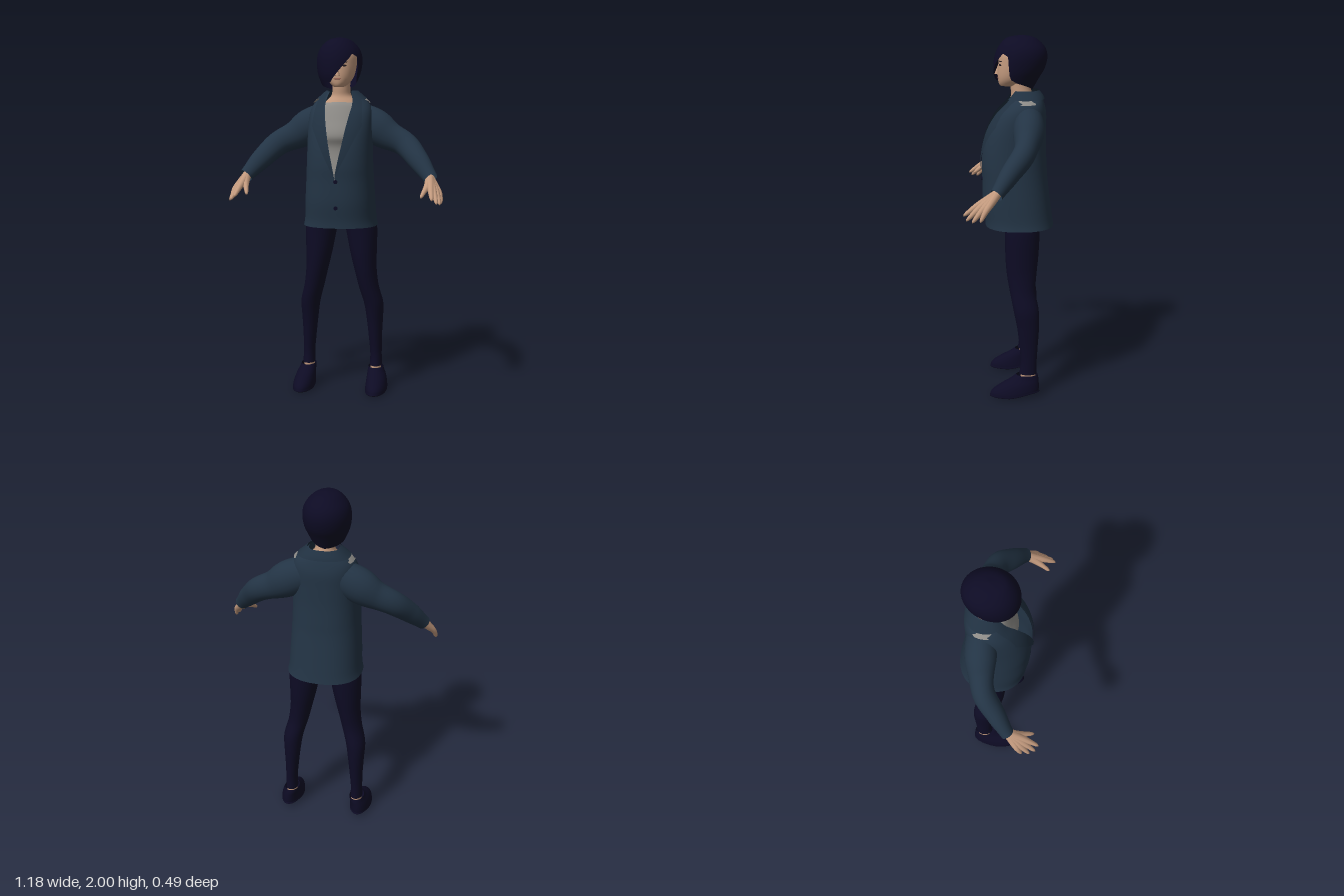
import * as THREE from 'three';
import { mergeVertices } from 'three/addons/utils/BufferGeometryUtils.js';

const mat = (name, color, side = THREE.DoubleSide) => {
  const m = new THREE.MeshStandardMaterial({ color, side });
  m.name = name;
  return m;
};

// Weld seams so that the normals are smooth all round
function weld(geo) {
  geo.deleteAttribute('normal');
  geo.deleteAttribute('uv');
  const g = mergeVertices(geo, 1e-5);
  g.computeVertexNormals();
  return g;
}

// Surface grid; u runs around from the front to +x, v runs downward
function surface(nu, nv, fn) {
  const pos = [], idx = [];
  for (let j = 0; j <= nv; j++)
    for (let i = 0; i <= nu; i++) pos.push(...fn(i / nu, j / nv));
  for (let j = 0; j < nv; j++)
    for (let i = 0; i < nu; i++) {
      const a = j * (nu + 1) + i, d = a + nu + 1;
      idx.push(a, d, a + 1, a + 1, d, d + 1);
    }
  const g = new THREE.BufferGeometry();
  g.setAttribute('position', new THREE.Float32BufferAttribute(pos, 3));
  g.setIndex(idx);
  return weld(g);
}

// Smooth interpolation between rows of numbers
function sample(rows, f) {
  const n = rows.length - 1, i = Math.min(Math.floor(f), n - 1), t = f - i;
  const r = k => rows[Math.max(0, Math.min(n, k))];
  return rows[i].map((_, k) => {
    const a = r(i - 1)[k], b = r(i)[k], c = r(i + 1)[k], d = r(i + 2)[k];
    return b + 0.5 * t * (c - a + t * (2 * a - 5 * b + 4 * c - d + t * (3 * (b - c) + d - a)));
  });
}

// Row position for a given height, rows running from top to bottom
function rowAt(rows, y) {
  for (let i = 0; i < rows.length - 1; i++)
    if (y >= rows[i + 1][0])
      return i + Math.max(0, (rows[i][0] - y) / (rows[i][0] - rows[i + 1][0]));
  return rows.length - 1;
}

// Closed loft through rows of [y, centre x, half width, front z, back z]
function loft(rows, nu = 28, nv = 40, bend = p => p) {
  return surface(nu, nv, (u, v) => {
    const [y, cx, w, zf, zb] = sample(rows, v * (rows.length - 1));
    const t = u * Math.PI * 2;
    return bend([cx + w * Math.sin(t), y, (zf + zb) / 2 + (zf - zb) / 2 * Math.cos(t)]);
  });
}

// Tube of changing radius through points
function limb(points, radii, { seg = 20, sides = 14, round = true, flat = 1 } = {}) {
  const curve = new THREE.CatmullRomCurve3(points.map(p => new THREE.Vector3(...p)));
  const g = new THREE.TubeGeometry(curve, seg, 1, sides);
  const p = g.attributes.position, v = new THREE.Vector3();
  for (let i = 0; i <= seg; i++) {
    const u = i / seg, c = curve.getPointAt(u);
    let r = sample(radii.map(x => [x]), u * (radii.length - 1))[0];
    if (round && u > 0.85) r *= Math.sqrt(Math.max(0, 1 - ((u - 0.85) / 0.15) ** 2));
    for (let j = 0; j <= sides; j++) {
      const k = i * (sides + 1) + j;
      v.fromBufferAttribute(p, k).sub(c).multiplyScalar(r);
      p.setXYZ(k, c.x + v.x, c.y + v.y, c.z + v.z * flat);
    }
  }
  return weld(g);
}

// Jacket rows: [y, half width, front z, back z, half opening]
const JACKET = [
  [1.70, 0.08, -0.02, -0.15, 0.06], [1.67, 0.115, 0, -0.175, 0.07], [1.63, 0.158, 0.03, -0.19, 0.075],
  [1.58, 0.176, 0.075, -0.2, 0.068], [1.5, 0.18, 0.118, -0.2, 0.053], [1.4, 0.181, 0.145, -0.2, 0.034],
  [1.3, 0.184, 0.155, -0.205, 0.013], [1.22, 0.188, 0.152, -0.21, 0], [1.1, 0.195, 0.15, -0.225, 0],
  [1.0, 0.2, 0.137, -0.238, 0], [0.955, 0.208, 0.135, -0.245, 0],
];
const POW = 0.85;
const sgnPow = a => Math.sign(a) * Math.abs(a) ** POW;
const angleFor = (x, w) => Math.asin(Math.min(1, Math.max(0, x / w) ** (1 / POW)));
function jacketPoint(row, t, off = 0) {
  const [y, w, zf, zb] = row;
  return [w * sgnPow(Math.sin(t)) + off * Math.sin(t), y,
    (zf + zb) / 2 + (zf - zb) / 2 * sgnPow(Math.cos(t)) + off * Math.cos(t)];
}

// Hair rows: [y, half width, front z, back z]; hairline: [angle, lowest y]
const HAIR = [
  [2.0, 0, -0.07, -0.07], [1.99, 0.047, 0, -0.125], [1.97, 0.08, 0.035, -0.16], [1.93, 0.113, 0.065, -0.195],
  [1.88, 0.126, 0.083, -0.205], [1.82, 0.122, 0.088, -0.19], [1.77, 0.107, 0.082, -0.16], [1.70, 0.075, 0.055, -0.12],
];
const HAIRLINE = [[-180, 1.705], [-90, 1.735], [-45, 1.75], [-15, 1.755], [0, 1.79], [22, 1.85],
  [45, 1.905], [60, 1.89], [72, 1.77], [90, 1.75], [180, 1.705]];
function hairEdge(deg) {
  const k = HAIRLINE.findIndex((h, i) => i > 0 && deg <= h[0] + 1e-6);
  const [a, b] = [HAIRLINE[k - 1], HAIRLINE[k]];
  return a[1] + (b[1] - a[1]) * (deg - a[0]) / (b[0] - a[0]);
}

export function createModel() {
  const model = new THREE.Group();
  model.name = 'figure';
  const M = {
    jacket: mat('jacket slate blue', 0x233445), lapel: mat('lapel blue', 0x203040),
    dark: mat('dark navy', 0x0d0b24), shirt: mat('shirt grey', 0x8d8b87),
    skin: mat('skin', 0xc39a7e), lip: mat('lip', 0x9c6658), eye: mat('eye dark', 0x241c20),
  };
  const add = (name, geo, m, pos) => {
    const mesh = new THREE.Mesh(geo, m);
    mesh.name = name;
    if (pos) mesh.position.set(...pos);
    model.add(mesh);
    return mesh;
  };

  // Head, neck and face
  add('head', loft([[1.985, 0, 0, -0.06, -0.06], [1.95, 0, 0.065, 0.02, -0.14], [1.9, 0, 0.087, 0.053, -0.16],
    [1.85, 0, 0.088, 0.06, -0.155], [1.8, 0, 0.08, 0.064, -0.135], [1.765, 0, 0.066, 0.063, -0.105],
    [1.74, 0, 0.045, 0.058, -0.07], [1.727, 0, 0.026, 0.045, -0.03], [1.727, 0, 0, 0.01, 0.01]]), M.skin);
  add('neck', loft([[1.79, 0, 0.052, 0, -0.11], [1.72, 0, 0.05, -0.005, -0.115], [1.68, 0, 0.056, -0.008, -0.125],
    [1.65, 0, 0.085, 0.002, -0.14], [1.62, 0, 0.11, 0.015, -0.15]]), M.skin);
  const nose = add('nose', new THREE.ConeGeometry(0.015, 0.055, 10), M.skin, [0, 1.818, 0.064]);
  nose.rotation.x = -0.12;
  add('mouth', new THREE.SphereGeometry(1, 12, 8), M.lip, [0, 1.772, 0.062]).scale.set(0.021, 0.005, 0.004);
  for (const s of [1, -1]) {
    for (const [name, y, w, h, z] of [['eye', 1.843, 0.014, 0.005, 0.0515], ['brow', 1.862, 0.019, 0.003, 0.05]]) {
      const e = add(name, new THREE.SphereGeometry(1, 12, 8), M.eye, [s * 0.036, y, z]);
      e.scale.set(w, h, 0.004);
      e.rotation.y = s * 0.4;
    }
  }

  // Bob hair with a fringe sweeping across one side
  add('hair', surface(72, 28, (u, v) => {
    const deg = -180 + 360 * u, t = deg * Math.PI / 180;
    const [y, w, zf, zb] = sample(HAIR, v * rowAt(HAIR, hairEdge(deg)));
    return [-0.009 + w * Math.sin(t), y, (zf + zb) / 2 + (zf - zb) / 2 * Math.cos(t)];
  }), M.dark);

  // Shirt beneath the jacket
  add('shirt', loft([[1.645, 0, 0.075, 0.006, -0.14], [1.62, 0, 0.125, 0.022, -0.165], [1.55, 0, 0.15, 0.05, -0.18],
    [1.46, 0, 0.155, 0.08, -0.18], [1.38, 0, 0.15, 0.058, -0.18], [1.2, 0, 0.155, 0.07, -0.18],
    [1.02, 0, 0.165, 0.07, -0.18]]), M.shirt);

  // Jacket body, open in a V at the chest
  add('jacketBody', surface(64, 50, (u, v) => {
    const row = sample(JACKET, v * (JACKET.length - 1));
    const t0 = angleFor(row[4], row[1]);
    return jacketPoint(row, t0 + u * (2 * Math.PI - 2 * t0));
  }), M.jacket);
  add('collar', surface(40, 6, (u, v) => {
    const row = sample(JACKET, v * 1.4), t0 = angleFor(row[4], row[1]);
    const p = jacketPoint(row, t0 + u * (2 * Math.PI - 2 * t0), 0.009);
    return [p[0], p[1] + 0.006, p[2]];
  }), M.lapel);
  for (const s of [1, -1]) {
    // Folded lapel following the chest
    add('lapel', surface(8, 30, (u, v) => {
      const y = 1.66 - 0.43 * v, row = sample(JACKET, rowAt(JACKET, y));
      const wide = y > 1.53 ? 0.04 + (1.66 - y) * 0.25 : 0.082 * (y - 1.23) / 0.3;
      const k = s > 0 ? u : 1 - u;
      const p = jacketPoint(row, angleFor(Math.min(row[4] + wide * k, row[1] * 0.97), row[1]), 0.008);
      return [s * p[0], p[1], p[2]];
    }), M.lapel);
    // Bare patch on the shoulder
    add('shoulderPatch', surface(8, 6, (u, v) => {
      const k = s > 0 ? u : 1 - u;
      const row = sample(JACKET, rowAt(JACKET, 1.675 - 0.04 * v));
      const p = jacketPoint(row, 1.35 + 0.6 * k + 0.12 * Math.sin(v * 9), 0.008);
      return [s * p[0], p[1] + 0.004, p[2]];
    }), M.shirt);
  }
  for (const [y, z] of [[1.215, 0.153], [1.07, 0.147]])
    add('button', new THREE.CylinderGeometry(0.011, 0.011, 0.008, 16).rotateX(Math.PI / 2), M.dark, [0.006, y, z]);

  // Hips inside the jacket hem
  add('hips', new THREE.SphereGeometry(1, 24, 16), M.dark, [0, 1.02, -0.07]).scale.set(0.18, 0.085, 0.1);

  for (const s of [1, -1]) {
    const flip = pts => pts.map(([x, y, z]) => [x * s, y, z]);
    const flipRows = rows => rows.map(([y, cx, ...r]) => [y, cx * s, ...r]);

    // Sleeve and hand
    add('sleeve', limb(flip([[0.1, 1.545, -0.1], [0.17, 1.515, -0.1], [0.26, 1.46, -0.09], [0.36, 1.41, -0.068],
      [0.44, 1.33, 0], [0.518, 1.235, 0.073]]), [0.095, 0.098, 0.075, 0.066, 0.056, 0.04],
      { seg: 36, sides: 20, round: false, flat: 0.85 }), M.jacket);
    const wrist = [0.512, 1.24, 0.07];
    const tips = [[0.54, 1.132, 0.243], [0.565, 1.112, 0.228], [0.58, 1.105, 0.197], [0.584, 1.108, 0.155]];
    tips.forEach((tip, i) => {
      const k = i / 3, knuckle = [0.527 + 0.043 * k, 1.182 - 0.02 * k, 0.172 - 0.045 * k];
      const palm = wrist.map((w, a) => (w + knuckle[a]) / 2);
      add('finger', limb(flip([wrist, palm, knuckle, tip]), [0.024, 0.021, 0.015, 0.009], { sides: 10 }), M.skin);
    });
    add('thumb', limb(flip([wrist, [0.508, 1.205, 0.12], [0.49, 1.17, 0.175], [0.477, 1.142, 0.213]]),
      [0.024, 0.022, 0.014, 0.009], { sides: 10 }), M.skin);

    // Leg and shoe
    add('leg', loft(flipRows([[1.02, 0.1, 0.095, 0.03, -0.165], [0.93, 0.116, 0.089, 0.027, -0.165],
      [0.8, 0.128, 0.075, 0.025, -0.158], [0.7, 0.14, 0.063, 0.017, -0.148], [0.6, 0.158, 0.057, 0, -0.142],
      [0.5, 0.184, 0.055, -0.02, -0.16], [0.4, 0.19, 0.046, -0.04, -0.162], [0.3, 0.193, 0.038, -0.052, -0.156],
      [0.2, 0.197, 0.033, -0.06, -0.15], [0.13, 0.197, 0.035, -0.052, -0.15]])), M.dark);
    add('ankle', loft(flipRows([[0.14, 0.197, 0.03, -0.06, -0.145], [0.09, 0.197, 0.03, -0.06, -0.145]]), 16, 4), M.skin);
    const tilt = ([x, y, z]) => [x, y + 0.025 * THREE.MathUtils.smoothstep(-z, -0.02, 0.14) * (1 - y / 0.13), z];
    add('shoe', loft(flipRows([[0.125, 0.198, 0.042, -0.035, -0.155], [0.1, 0.201, 0.047, 0, -0.16],
      [0.07, 0.207, 0.054, 0.055, -0.162], [0.04, 0.21, 0.059, 0.098, -0.163], [0.016, 0.211, 0.061, 0.112, -0.162],
      [0, 0.21, 0.056, 0.1, -0.155], [0, 0.21, 0, -0.03, -0.03]]), 28, 30, tilt), M.dark);
  }
  return model;
}
